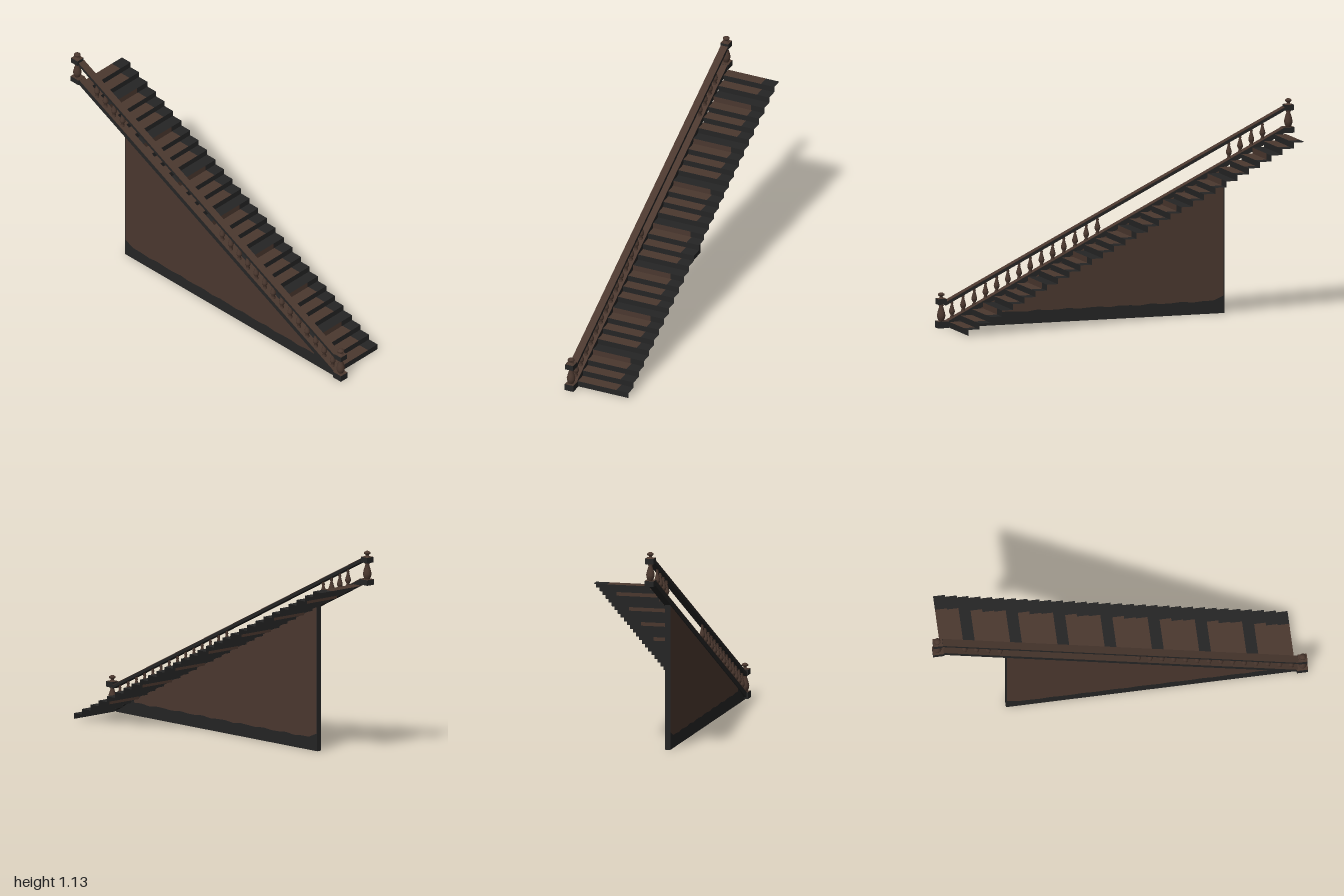
import * as THREE from 'three';

const SLOPE = 0.497, START = 0.935, STEPS = 30;
const RUN = 0.063, RISE = 0.0313;
const slopeY = (z) => SLOPE * (START - z);

export function createModel() {
  const model = new THREE.Group();
  const mat = (name, color, extra = {}) => {
    const m = new THREE.MeshStandardMaterial({ color, ...extra });
    m.name = name;
    return m;
  };
  const brown = mat('brown wood', 0x4b382f, { side: THREE.DoubleSide });
  const dark = mat('dark paint', 0x252525, { side: THREE.DoubleSide });

  const add = (parent, name, geometry, material, x = 0, y = 0, z = 0) => {
    const mesh = new THREE.Mesh(geometry, material);
    mesh.name = name;
    mesh.position.set(x, y, z);
    parent.add(mesh);
    return mesh;
  };
  const group = (name) => {
    const g = new THREE.Group();
    g.name = name;
    model.add(g);
    return g;
  };

  // Extrude a side outline of [z, y] points between two x positions
  const sideSlab = (points, x0, x1) => {
    const shape = new THREE.Shape(points.map(([z, y]) => new THREE.Vector2(z, y)));
    const g = new THREE.ExtrudeGeometry(shape, { depth: x1 - x0, bevelEnabled: false });
    g.rotateY(-Math.PI / 2);
    g.translate(x1, 0, 0);
    return g;
  };

  // Thin folded steps: each level has a riser and a tread
  const strips = { brown: [], dark: [] };
  const quad = (list, a, b, c, d) => list.push(...a, ...b, ...c, ...a, ...c, ...d);
  const X0 = -0.127, X1 = 0.17;
  for (let i = 0; i < STEPS; i++) {
    const z = START - i * RUN, y = i * RISE, y2 = y + RISE, z2 = z - RUN;
    const riser = (list, a, b) => quad(list, [a, y, z], [b, y, z], [b, y2, z], [a, y2, z]);
    const tread = (list, a, b) => quad(list, [a, y2, z], [b, y2, z], [b, y2, z2], [a, y2, z2]);
    // Worn patches: three treads in four, and the riser of the fourth
    const plainTread = i % 4 === 3;
    if (plainTread) {
      riser(strips.brown, X0, 0.092);
      riser(strips.dark, 0.092, X1);
      tread(strips.dark, X0, X1);
    } else {
      const edge = i % 4 === 1 ? 0.093 : 0.098;
      riser(strips.dark, X0, X1);
      tread(strips.brown, X0, edge);
      tread(strips.dark, edge, X1);
    }
  }
  const steps = group('steps');
  const sheet = (name, list, material) => {
    const g = new THREE.BufferGeometry();
    g.setAttribute('position', new THREE.Float32BufferAttribute(list, 3));
    g.computeVertexNormals();
    add(steps, name, g, material);
  };
  sheet('stepPatches', strips.brown, brown);
  sheet('stepSurfaces', strips.dark, dark);

  // Triangular wall with an uneven dark skirting
  const wall = group('sideWall');
  const back = -0.61, inner = -0.605;
  const ragged = [];
  for (let i = 0; i <= 24; i++) {
    const z = 0.79 + (inner - 0.79) * (i / 24);
    ragged.push([z, 0.068 + 0.004 * Math.sin(i * 2.3) + (i === 24 ? 0.03 : 0)]);
  }
  const low = (z) => slopeY(z) + 0.014;
  add(wall, 'skirting', sideSlab([[0.93, 0], [inner, 0], ...[...ragged].reverse(), [0.79, low(0.79)]], -0.16, -0.13), dark);
  add(wall, 'wallPanel', sideSlab([...ragged, [inner, low(inner)], [0.79, low(0.79)]], -0.16, -0.13), brown);
  add(wall, 'wallBackEdge', sideSlab([[inner, 0], [back, 0], [back, low(back)], [inner, low(inner)]], -0.16, -0.13), dark);

  // Sloping dark beams, each with a brown top face
  const beam = (name, z0, z1, bottom, thick) => {
    const g = group(name);
    const band = (a, b) => [
      [z0, slopeY(z0) + a], [z1, slopeY(z1) + a], [z1, slopeY(z1) + b], [z0, slopeY(z0) + b],
    ];
    const top = bottom + thick;
    add(g, name + 'Body', sideSlab(band(bottom, top - 0.003), -0.166, -0.126), dark);
    add(g, name + 'Top', sideSlab(band(top - 0.003, top), -0.166, -0.126), brown);
  };
  beam('stringer', 0.955, -0.945, 0.01, 0.032);
  beam('handrail', 0.955, -0.945, 0.13, 0.02);

  // Turned balusters, in two runs with a gap between them
  const lathe = (points, sides = 12) =>
    new THREE.LatheGeometry(points.map(([r, y]) => new THREE.Vector2(r, y)), sides);
  const balusterShape = lathe([
    [0.011, 0], [0.011, 0.012], [0.007, 0.018], [0.015, 0.034], [0.016, 0.042],
    [0.012, 0.056], [0.006, 0.078], [0.009, 0.084], [0.006, 0.09], [0.01, 0.105],
  ]);
  const balusters = group('balusters');
  for (let i = 0; i < 29; i++) {
    if (i > 13 && i < 25) continue;
    const z = 0.914 - i * 0.0628 + (i > 13 ? 0.016 : 0);
    add(balusters, 'baluster', balusterShape, brown, -0.147, slopeY(z) + 0.034, z);
  }
  // End posts: block, turned vase, cap block and knob
  const vase = lathe([
    [0.013, 0], [0.02, 0.014], [0.023, 0.03], [0.018, 0.052], [0.01, 0.078], [0.014, 0.084], [0.012, 0.094],
  ], 16);
  const knob = lathe([
    [0.016, 0], [0.008, 0.007], [0.009, 0.012], [0.018, 0.018], [0.017, 0.025], [0.008, 0.031], [0, 0.032],
  ], 16);
  const blockFaces = [dark, dark, brown, dark, dark, dark];
  const endPost = (name, y, z, baseHeight, baseDepth, baseZ) => {
    const g = group(name);
    const x = -0.148;
    add(g, 'postBase', new THREE.BoxGeometry(0.05, baseHeight, baseDepth), blockFaces, x, y + baseHeight / 2, baseZ);
    const top = y + baseHeight;
    add(g, 'postVase', vase, brown, x, top, z);
    add(g, 'postCap', new THREE.BoxGeometry(0.046, 0.03, 0.048), blockFaces, x, top + 0.105, z);
    add(g, 'postKnob', knob, brown, x, top + 0.12, z);
  };
  endPost('lowerPost', 0, 0.974, 0.036, 0.06, 0.97);
  endPost('upperPost', 0.945, -0.974, 0.03, 0.06, -0.97);

  return model;
}
